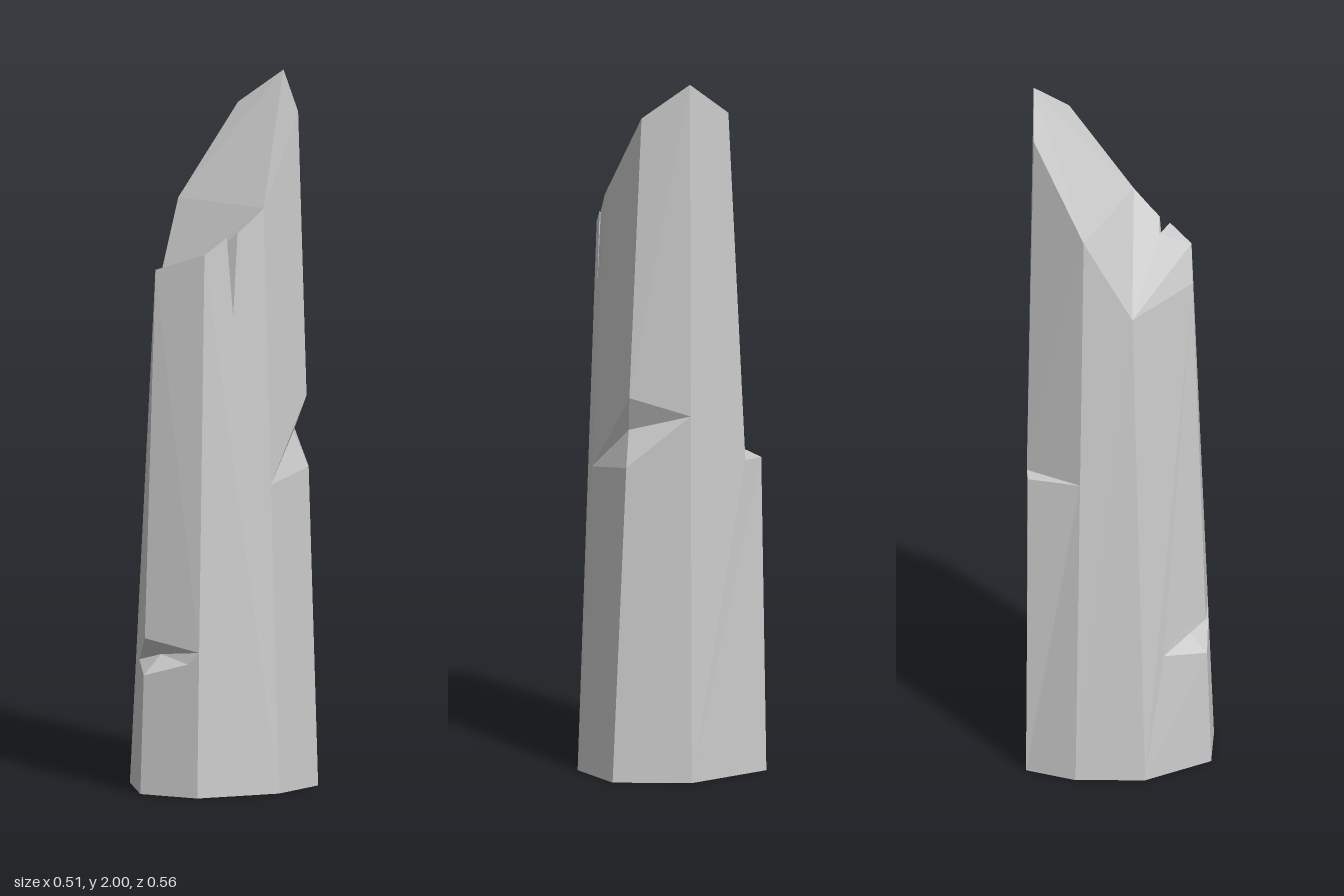
import * as THREE from 'three';

const V = (x, y, z) => new THREE.Vector3(x, y, z);

// A corner edge of the pillar: returns the point on it at height y
const edge = (bottom, top) => {
  const at = (y) => bottom.clone().lerp(top, (y - bottom.y) / (top.y - bottom.y));
  at.bottom = bottom;
  at.top = top;
  return at;
};
// Point on the face between two edges, t of the way from a to b
const onFace = (a, b, t, y) => a(y).lerp(b(y), t);

// Flat-shaded mesh from polygons listed counter-clockwise as seen from outside
function facetedMesh(name, polygons, material) {
  const points = [];
  for (const poly of polygons) {
    const n = V(0, 0, 0);
    poly.forEach((p, i) => n.add(p.clone().cross(poly[(i + 1) % poly.length])));
    n.normalize();
    const u = (Math.abs(n.y) > 0.8 ? V(1, 0, 0) : V(0, 1, 0)).cross(n).normalize();
    const v = n.clone().cross(u);
    const flat = poly.map((p) => new THREE.Vector2(p.dot(u), p.dot(v)));
    for (const [i, j, k] of THREE.ShapeUtils.triangulateShape(flat, [])) {
      const [a, b, c] = [poly[i], poly[j], poly[k]];
      const facing = b.clone().sub(a).cross(c.clone().sub(a)).dot(n);
      points.push(...(facing >= 0 ? [a, b, c] : [a, c, b]));
    }
  }
  const geometry = new THREE.BufferGeometry().setFromPoints(points);
  geometry.computeVertexNormals();
  const mesh = new THREE.Mesh(geometry, material);
  mesh.name = name;
  return mesh;
}

export function createModel() {
  const group = new THREE.Group();
  group.name = 'brokenStonePillar';
  const stone = new THREE.MeshStandardMaterial({ color: 0xcccccc, flatShading: true });

  // Corner edges, starting at the back and going round by way of +x
  const A = edge(V(0, 0, -0.278), V(0, 2, -0.26));
  const B = edge(V(0.21, 0, -0.205), V(0.125, 1.9, -0.205));
  const C = edge(V(0.255, 0, -0.02), V(0.178, 1.65, -0.03));
  const D = edge(V(0.175, 0, 0.215), V(0.143, 1.53, 0.16));
  const E = edge(V(0.005, 0, 0.278), V(0.005, 1.48, 0.222));
  const F = edge(V(-0.18, 0, 0.155), V(-0.13, 1.4, 0.095));
  const G = edge(V(-0.255, 0, -0.025), V(-0.185, 1.64, -0.03));
  const H = edge(V(-0.25, 0, -0.178), V(-0.235, 0.9, -0.178)); // below the ledge
  const J = edge(V(-0.18, 0.9, -0.205), V(-0.13, 1.9, -0.205)); // above the ledge

  // Chip in the back corner
  const chipA = A(1.05), chipTop = B(1.1), chipLow = B(0.9), chipC = C(0.87);
  const chipDeep = V(0.15, 1.0, -0.165);

  // Gash across the front
  const gashRight = D(0.41), gashTop = E(0.44), gashLow = E(0.335);
  const gashLowRight = onFace(E, D, 0.8, 0.375);
  const gashLeft = onFace(E, F, 0.66, 0.36);
  const gashTopLeft = onFace(E, F, 0.38, 0.42);
  const gashLowLeft = onFace(E, F, 0.5, 0.32);
  const gashDeep = V(0.01, 0.39, 0.205);

  // Crack running down from the rim on the +x face
  const rim = onFace(C, D, 0.27, 1.61);
  const crackBack = onFace(C, D, 0.45, 1.585);
  const crackFront = onFace(C, D, 0.63, 1.575);
  const crackTip = onFace(C, D, 0.53, 1.35);
  const crackDeep = V(0.125, 1.55, 0.07);

  const sides = [
    [B.bottom, A.bottom, chipA, chipLow],
    [chipTop, chipA, A.top, B.top],
    [C.bottom, B.bottom, chipLow, chipC],
    [chipC, chipTop, B.top, C.top],
    [D.bottom, C.bottom, chipC, C.top, rim, crackBack, crackTip, crackFront, D.top, gashRight],
    [E.bottom, D.bottom, gashRight, gashLowRight, gashLow],
    [gashRight, D.top, E.top, gashTop],
    [F.bottom, E.bottom, gashLow, gashLowLeft, gashLeft, gashTopLeft, gashTop, E.top, F.top],
    [G.bottom, F.bottom, F.top, G.top, G(0.9)],
    [H.bottom, G.bottom, G(0.9), H.top],
    [J.bottom, G(0.9), G.top, J.top],
    [A.bottom, H.bottom, H.top, J.bottom, J.top, A.top, chipA],
  ];
  const parts = {
    sides,
    base: [[A, B, C, D, E, F, G, H].map((e) => e.bottom)],
    slantedTop: [[A, J, G, F, C, B].map((e) => e.top)],
    brokenRim: [[F.top, E.top, D.top, crackFront, crackDeep, crackBack, rim, C.top]],
    sideLedge: [[H.top, G(0.9), J.bottom]],
    backChip: [
      [chipTop, chipDeep, chipA],
      [chipC, chipDeep, chipTop],
      [chipLow, chipA, chipDeep],
      [chipC, chipLow, chipDeep],
    ],
    frontGash: [
      [gashLeft, gashDeep, gashTop, gashTopLeft],
      [gashDeep, gashRight, gashTop],
      [gashLeft, gashLowLeft, gashLow, gashDeep],
      [gashDeep, gashLow, gashLowRight, gashRight],
    ],
    rimCrack: [
      [crackFront, crackTip, crackDeep],
      [crackDeep, crackTip, crackBack],
    ],
  };
  for (const [name, polygons] of Object.entries(parts)) {
    group.add(facetedMesh(name, polygons, stone));
  }
  return group;
}
